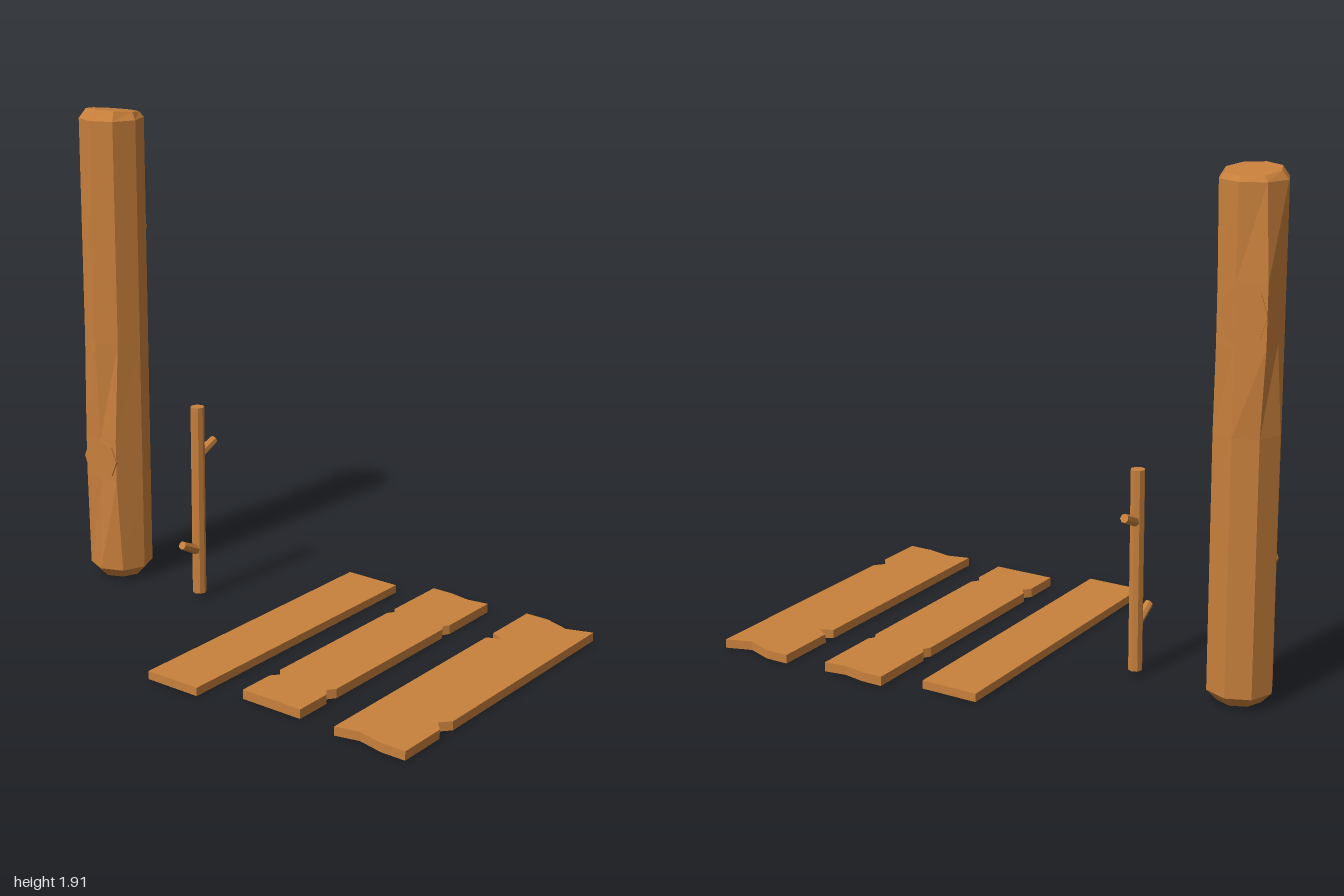
import * as THREE from 'three';

const wood = new THREE.MeshStandardMaterial({ color: 0xc8803c });
wood.name = 'wood';

// Faceted mesh: every face gets its own normal
function add(parent, name, geometry) {
  const g = geometry.index ? geometry.toNonIndexed() : geometry;
  g.computeVertexNormals();
  const mesh = new THREE.Mesh(g, wood);
  mesh.name = name;
  parent.add(mesh);
  return mesh;
}

const octagon = (r) => Array.from({ length: 8 }, (_, i) =>
  new THREE.Vector2(r * Math.sin(i * Math.PI / 4), r * Math.cos(i * Math.PI / 4)));

// Skin of stacked octagonal rings, closed at both ends
function loft(rings) {
  const pos = [], idx = [], n = 8;
  rings.forEach((ring) => ring.forEach((p) => pos.push(...p)));
  for (let k = 0; k < rings.length - 1; k++) {
    for (let i = 0; i < n; i++) {
      const a = k * n + i, b = k * n + (i + 1) % n;
      idx.push(a, b, b + n, a, b + n, a + n);
    }
  }
  const top = (rings.length - 1) * n;
  for (let i = 1; i < n - 1; i++) {
    idx.push(0, i + 1, i, top, top + i, top + i + 1);
  }
  const g = new THREE.BufferGeometry();
  g.setAttribute('position', new THREE.Float32BufferAttribute(pos, 3));
  g.setIndex(idx);
  return g;
}

// Cut branch stub: octagonal rim around a slightly sunken face
function knot(parent, name, r, stretch) {
  const group = new THREE.Group();
  group.name = name;
  const rim = new THREE.Shape(octagon(r));
  rim.holes.push(new THREE.Path(octagon(r * 0.87)));
  const ring = new THREE.ExtrudeGeometry(rim, { depth: 0.05, bevelEnabled: false });
  add(group, name + 'Rim', ring.translate(0, 0, -0.05));
  const face = new THREE.ShapeGeometry(new THREE.Shape(octagon(r * 0.9)));
  add(group, name + 'Face', face.translate(0, 0, -0.008));
  group.scale.y = stretch;
  parent.add(group);
  return group;
}

function makeLog() {
  const log = new THREE.Group();
  log.name = 'log';
  // Ring corners run +z, +x, -z, -x; moved corners flatten the trunk at the knots
  const ring = (y, r, moved = {}, dz = 0, tilt = 0) => octagon(r).map((p, i) => {
    const [x, z] = moved[i] || [p.x, p.y];
    return [x, y + tilt * z, z + dz];
  });
  const frontFlat = { 0: [0, 0.107], 1: [0.08, 0.105], 7: [-0.08, 0.105] };
  const backFlat = { 3: [0.078, -0.1], 4: [0, -0.122], 5: [-0.108, -0.1], 6: [-0.105, 0] };
  add(log, 'trunk', loft([
    ring(0.008, 0.085), ring(0.05, 0.125),
    ring(0.43, 0.125, frontFlat), ring(0.6, 0.125, frontFlat),
    ring(1.0, 0.125), ring(1.32, 0.125, backFlat), ring(1.54, 0.125, backFlat),
    ring(1.873, 0.125), ring(1.902, 0.102, {}, -0.008, 0.11),
  ]));
  knot(log, 'frontKnot', 0.085, 1).position.set(0, 0.515, 0.112);
  const back = knot(log, 'backKnot', 0.082, 1.35);
  back.position.set(-0.03, 1.43, -0.12);
  back.rotation.y = Math.PI + 0.2;
  log.position.set(-0.875, 0, -0.065);
  return log;
}

function makeStick() {
  const stick = new THREE.Group();
  stick.name = 'stick';
  add(stick, 'stem', new THREE.CylinderGeometry(0.027, 0.027, 0.77, 8)).position.y = 0.405;
  // Twigs: height at root, root z, tip height, tip z
  [['backTwig', 0.59, 0, 0.632, -0.097], ['frontTwig', 0.195, 0, 0.245, 0.1]]
    .forEach(([name, y0, z0, y1, z1]) => {
      const root = new THREE.Vector3(0, y0, z0), tip = new THREE.Vector3(0, y1, z1);
      const dir = tip.clone().sub(root);
      const twig = add(stick, name, new THREE.CylinderGeometry(0.017, 0.02, dir.length(), 7));
      twig.position.copy(root).lerp(tip, 0.5);
      twig.quaternion.setFromUnitVectors(new THREE.Vector3(0, 1, 0), dir.normalize());
    });
  stick.position.set(-0.45, 0, -0.06);
  return stick;
}

// Plank outline is given as x, z corners
function plank(parent, name, corners, thickness) {
  const shape = new THREE.Shape(corners.map(([x, z]) => new THREE.Vector2(x, z)));
  const g = new THREE.ExtrudeGeometry(shape, { depth: thickness, bevelEnabled: false });
  add(parent, name, g.rotateX(Math.PI / 2).translate(0, thickness, 0));
}

export function createModel() {
  const model = new THREE.Group();
  model.name = 'woodPieces';
  model.add(makeLog(), makeStick());

  plank(model, 'plainPlank', [[-0.085, -0.575], [0.143, -0.575], [0.143, 0.645], [-0.085, 0.645]], 0.032);
  plank(model, 'notchedPlank', [
    [0.285, -0.635], [0.37, -0.635], [0.455, -0.62], [0.54, -0.633],
    [0.54, -0.365], [0.525, -0.34], [0.54, -0.315],
    [0.54, 0.35], [0.518, 0.38], [0.54, 0.41], [0.54, 0.56],
    [0.285, 0.56], [0.285, 0.41], [0.31, 0.38], [0.285, 0.35],
    [0.285, -0.315], [0.302, -0.34], [0.285, -0.365],
  ], 0.036);
  plank(model, 'brokenPlank', [
    [0.707, -0.65], [0.80, -0.65], [0.90, -0.615], [1, -0.648],
    [1, 0.305], [0.965, 0.345], [1, 0.385], [1, 0.588],
    [0.90, 0.588], [0.80, 0.566], [0.707, 0.588],
    [0.707, -0.36], [0.76, -0.383], [0.707, -0.41],
  ], 0.034);
  return model;
}
